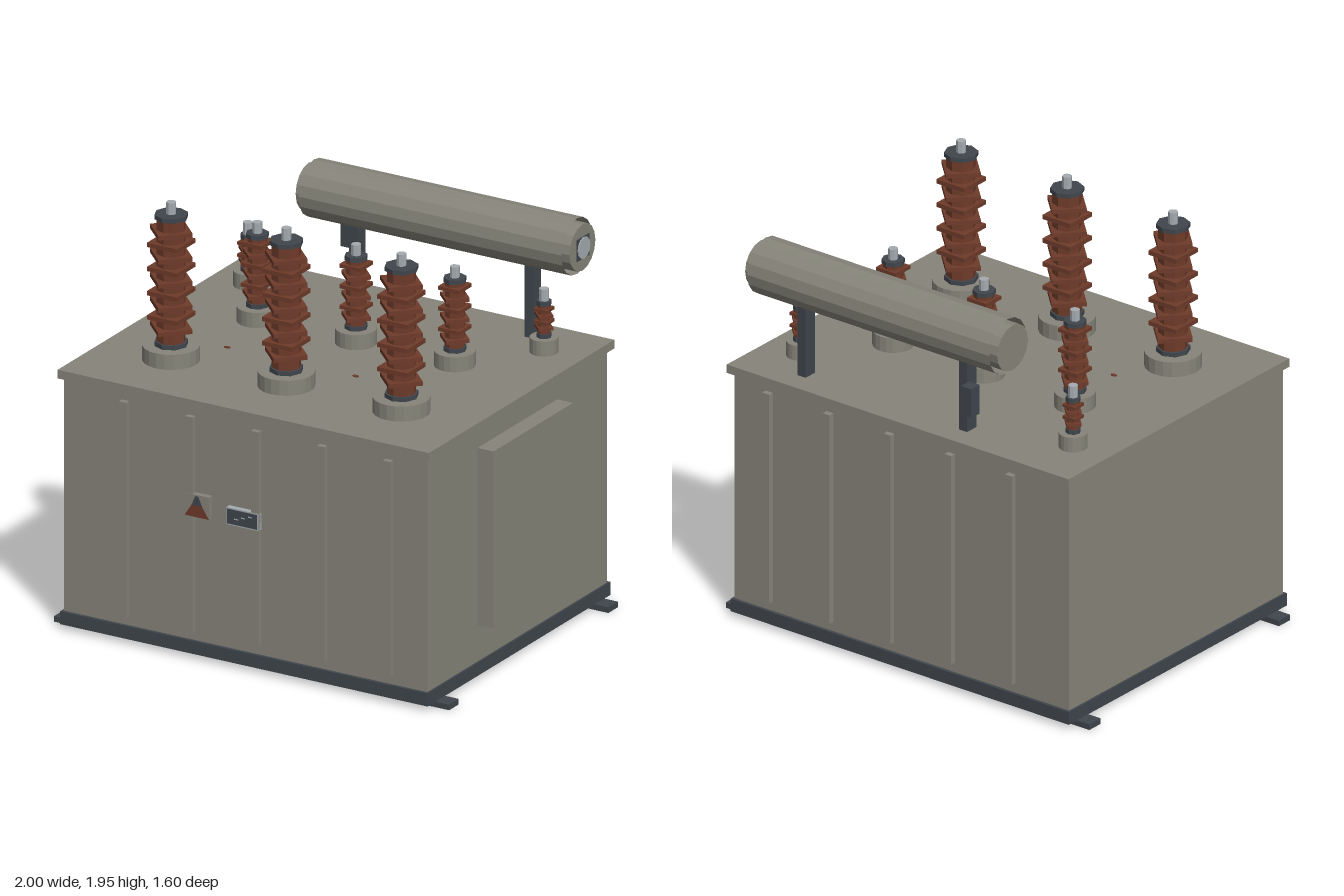
import * as THREE from 'three';

const material = (name, color) => {
  const m = new THREE.MeshStandardMaterial({ color });
  m.name = name;
  return m;
};

export function createModel() {
  const model = new THREE.Group();
  model.name = 'transformer';
  const grey = material('tank grey', 0x87857a);
  const dark = material('dark steel', 0x40464d);
  const brown = material('brown porcelain', 0x6e3b2a);
  const light = material('light metal', 0xa5abb0);
  const shell = material('conservator grey', 0x87857a);
  shell.side = THREE.DoubleSide;

  const add = (name, geometry, mat, x, y, z, parent = model) => {
    const mesh = new THREE.Mesh(geometry, mat);
    mesh.name = name;
    mesh.position.set(x, y, z);
    parent.add(mesh);
    return mesh;
  };
  // Box given by its limits on each axis
  const box = (name, mat, x0, x1, y0, y1, z0, z1) =>
    add(name, new THREE.BoxGeometry(x1 - x0, y1 - y0, z1 - z0), mat,
      (x0 + x1) / 2, (y0 + y1) / 2, (z0 + z1) / 2);
  // Faceted cylinder geometry
  const prism = (r, h, sides, open = false) => {
    const g = new THREE.CylinderGeometry(r, r, h, sides, 1, open).toNonIndexed();
    g.computeVertexNormals();
    return g;
  };

  // Tank, lid and base
  box('tank', grey, -0.92, 0.92, 0.085, 1.17, -0.73, 0.77);
  box('lid', grey, -0.94, 0.94, 1.17, 1.21, -0.76, 0.79);
  box('base', dark, -0.93, 0.93, 0.025, 0.085, -0.745, 0.785);
  for (const z of [0.68, -0.65]) box('skid', dark, -1, 1, 0, 0.026, z - 0.04, z + 0.04);
  box('controlCabinet', grey, 0.91, 1, 0.255, 1.08, -0.315, 0.35);

  // Stiffening ribs on front and back
  for (let i = 0; i < 5; i++) {
    const x = -0.607 + i * 0.334;
    box('frontRib', grey, x - 0.019, x + 0.019, 0.13, 1.13, 0.765, 0.795);
    box('backRib', grey, x - 0.019, x + 0.019, 0.13, 1.13, -0.757, -0.725);
  }

  // Bushing: flange, core, alternating square sheds, cap and terminal
  const bushing = (name, x, z, s) => {
    const g = new THREE.Group();
    g.name = name;
    g.position.set(x, 0, z);
    model.add(g);
    const cyl = (part, mat, r, y0, y1, sides) =>
      add(part, prism(r, y1 - y0, sides), mat, 0, (y0 + y1) / 2, 0, g);
    cyl('flange', grey, s.flange, 1.2, 1.28, 20);
    cyl('collar', dark, s.cap, 1.28, 1.3, 8);
    cyl('core', brown, s.core, 1.3, s.top - 0.02, 8);
    for (let i = 0; i < s.count; i++) {
      const y = s.first + (s.last - s.first) * i / (s.count - 1);
      const shed = cyl('shed', brown, s.shed, y - s.thick / 2, y + s.thick / 2, 4);
      if (i % 2) shed.rotation.y = Math.PI / 4;
    }
    cyl('cap', dark, s.cap, s.top - 0.02, s.top, 8);
    cyl('terminal', light, s.pin, s.top, s.tip, 8);
  };
  const high = { flange: 0.126, core: 0.065, shed: 0.108, cap: 0.075, pin: 0.022,
    top: 1.89, tip: 1.945, first: 1.36, last: 1.81, count: 9, thick: 0.02 };
  const low = { flange: 0.091, core: 0.045, shed: 0.075, cap: 0.051, pin: 0.022,
    top: 1.62, tip: 1.67, first: 1.335, last: 1.575, count: 6, thick: 0.017 };
  const neutral = { flange: 0.063, core: 0.028, shed: 0.047, cap: 0.033, pin: 0.022,
    top: 1.45, tip: 1.505, first: 1.325, last: 1.41, count: 4, thick: 0.014 };
  for (const i of [-1, 0, 1]) {
    bushing('highVoltageBushing', i * 0.583, 0.43, high);
    bushing('lowVoltageBushing', i * 0.5, -0.153, low);
    if (i) bushing('neutralBushing', i * 0.75, -0.485, neutral);
  }

  // Conservator: open shell with inset end caps, gauge and posts
  const along = (name, mat, r, x0, x1, sides, open) => {
    const mesh = add(name, prism(r, x1 - x0, sides, open), mat, (x0 + x1) / 2, 1.67, -0.625);
    mesh.rotation.z = -Math.PI / 2;
    return mesh;
  };
  along('conservatorShell', shell, 0.13, -0.5, 0.832, 16, true);
  along('conservatorEndCap', grey, 0.108, 0.79, 0.86, 16);
  along('conservatorEndCap', grey, 0.108, -0.527, -0.46, 16);
  box('gaugeFrame', dark, 0.855, 0.865, 1.62, 1.72, -0.675, -0.575);
  along('gaugeFace', light, 0.05, 0.86, 0.87, 12);
  for (const x of [-0.278, 0.61])
    box('conservatorPost', dark, x - 0.022, x + 0.022, 1.21, 1.55, -0.655, -0.59);
  box('breather', dark, -0.435, -0.378, 1.37, 1.508, -0.798, -0.74);

  // Warning plate with a two-tone triangle
  box('warningPlate', grey, -0.29, -0.17, 0.67, 0.775, 0.77, 0.797);
  const face = (name, mat, points) =>
    add(name, new THREE.ShapeGeometry(new THREE.Shape(points.map(p => new THREE.Vector2(...p)))),
      mat, 0, 0, 0.7985);
  face('warningTriangleBase', brown, [[-0.292, 0.672], [-0.168, 0.672], [-0.203, 0.725], [-0.257, 0.725]]);
  face('warningTriangleTip', dark, [[-0.257, 0.725], [-0.203, 0.725], [-0.223, 0.77], [-0.237, 0.77]]);

  // Rating plate with a light rim and small marks
  box('ratingPlateRim', light, -0.082, 0.08, 0.67, 0.75, 0.77, 0.796);
  box('ratingPlate', dark, -0.076, 0.074, 0.676, 0.744, 0.79, 0.798);
  for (let i = 0; i < 3; i++)
    box('ratingMark', light, -0.04 + i * 0.035, -0.02 + i * 0.035, 0.7 + i * 0.012, 0.705 + i * 0.012, 0.797, 0.799);

  // Small lid plugs
  for (const x of [-0.447, 0.205]) {
    const plug = add('lidPlug', prism(0.016, 0.006, 8), brown, x, 1.211, 0.187);
    plug.scale.z = 0.6;
  }
  return model;
}
